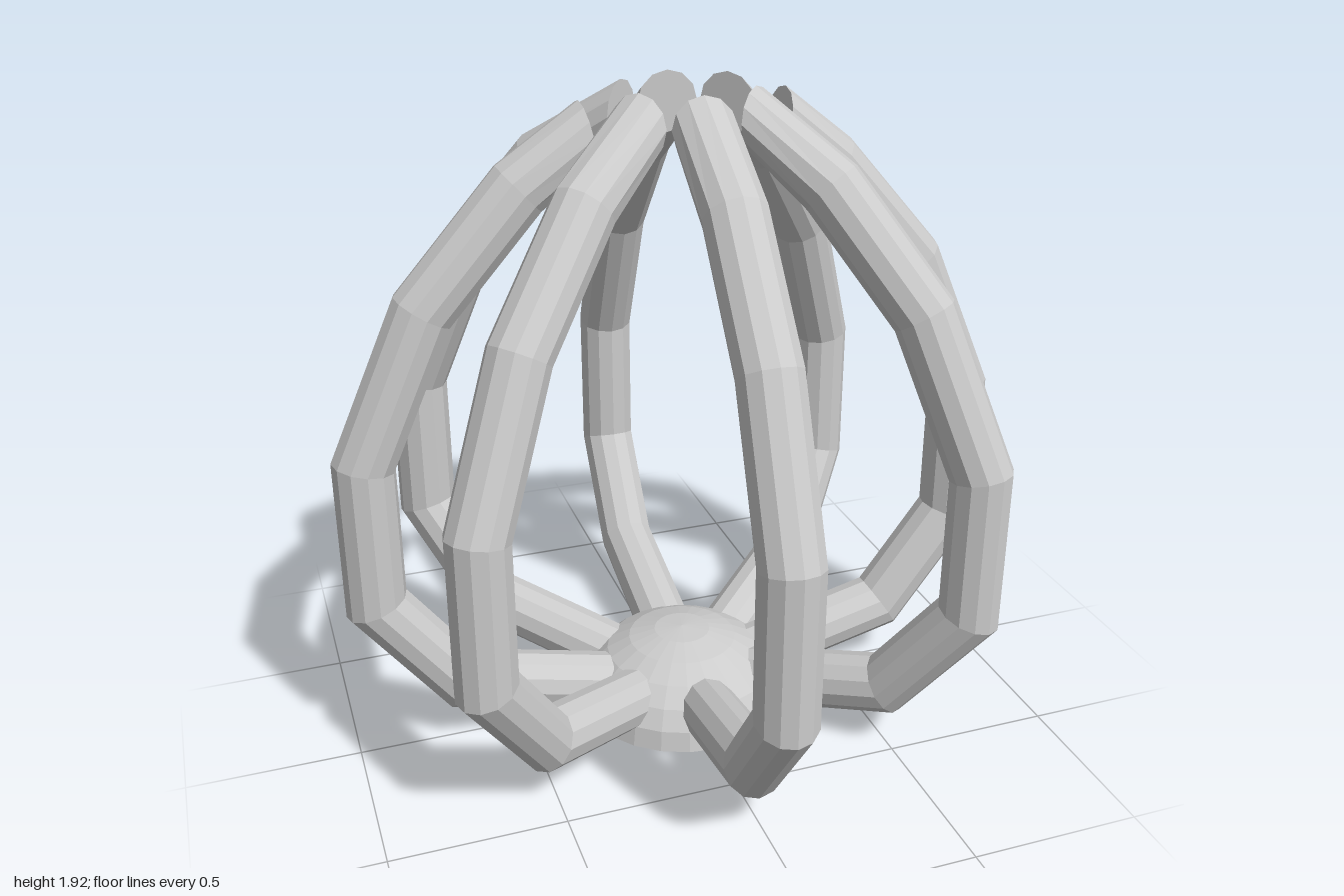
import * as THREE from 'three';

const RADIUS = 0.087;
const SIDES = 12;
const material = new THREE.MeshStandardMaterial({ color: 0xcccccc, flatShading: true });

// Plan positions of each arm: upper end (x, z), outermost point (x, z), height and tilt of the upper end
const ARMS = [
  { name: 'frontArm', top: [0.01, 0.17], tip: [-0.03, 0.985], y: 1.83, tilt: 0 },
  { name: 'frontLeftArm', top: [0.18, 0.10], tip: [0.715, 0.665], y: 1.83, tilt: 0 },
  { name: 'leftArm', top: [0.29, 0], tip: [1, 0], y: 1.805, tilt: 0.2 },
  { name: 'backLeftArm', top: [0.18, -0.11], tip: [0.765, -0.615], y: 1.83, tilt: 0 },
  { name: 'backArm', top: [0.03, -0.185], tip: [0.043, -0.99], y: 1.83, tilt: 0 },
  { name: 'backRightArm', top: [-0.13, -0.103], tip: [-0.725, -0.645], y: 1.83, tilt: 0 },
  { name: 'rightArm', top: [-0.26, 0], tip: [-1, 0], y: 1.805, tilt: 0.2 },
  { name: 'frontRightArm', top: [-0.14, 0.09], tip: [-0.775, 0.565], y: 1.83, tilt: 0 },
];

// Mitred tube along a bent path lying in one vertical plane
function armGeometry({ top, tip, y, tilt }) {
  const u = new THREE.Vector3(tip[0] - top[0], 0, tip[1] - top[1]);
  const reach = u.length() - RADIUS;
  u.normalize();
  const up = new THREE.Vector3(0, 1, 0);
  const side = new THREE.Vector3().crossVectors(u, up);
  const origin = new THREE.Vector3(top[0], 0, top[1]);

  // (distance from the upper end, height), from the hub outward and up
  const path = [
    [reach - 0.67, 0.09], [reach - 0.23, 0.195], [reach, 0.5], [reach, 0.935],
    [reach - 0.19, 1.36], [reach - 0.465, 1.67], [0, y],
  ].map(p => new THREE.Vector2(...p));

  const positions = [];
  const index = [];
  const put = v => positions.push(v.x, v.y, v.z);
  const centre = p => origin.clone().addScaledVector(u, p.x).addScaledVector(up, p.y);
  const last = path.length - 1;

  path.forEach((p, i) => {
    const before = p.clone().sub(path[Math.max(i - 1, 0)]).normalize();
    const after = path[Math.min(i + 1, last)].clone().sub(p).normalize();
    const t = before.clone().add(after).normalize();
    if (i === last) t.set(-1, tilt).normalize();
    const stretch = i > 0 && i < last ? 1 / t.dot(before) : 1;
    const n = u.clone().multiplyScalar(-t.y).addScaledVector(up, t.x);
    for (let j = 0; j < SIDES; j++) {
      const a = (j / SIDES) * Math.PI * 2;
      put(centre(p)
        .addScaledVector(n, Math.cos(a) * RADIUS * stretch)
        .addScaledVector(side, Math.sin(a) * RADIUS));
    }
  });
  put(centre(path[0]));
  put(centre(path[last]));

  const capStart = path.length * SIDES;
  for (let j = 0; j < SIDES; j++) {
    const k = (j + 1) % SIDES;
    for (let i = 0; i < last; i++) {
      const r = i * SIDES;
      const s = r + SIDES;
      index.push(r + j, r + k, s + k, r + j, s + k, s + j);
    }
    index.push(capStart, k, j);
    index.push(capStart + 1, last * SIDES + j, last * SIDES + k);
  }

  const geometry = new THREE.BufferGeometry();
  geometry.setAttribute('position', new THREE.Float32BufferAttribute(positions, 3));
  geometry.setIndex(index);
  const flat = geometry.toNonIndexed();
  flat.computeVertexNormals();
  return flat;
}

export function createModel() {
  const model = new THREE.Group();
  model.name = 'ribbedCage';

  // Low domed hub with a flat underside
  const profile = [new THREE.Vector2(0, 0)];
  for (let i = 0; i <= 6; i++) {
    const a = (i / 6) * Math.PI / 2;
    profile.push(new THREE.Vector2(i === 6 ? 0 : 0.33 * Math.cos(a), 0.235 * Math.sin(a)));
  }
  const hub = new THREE.Mesh(new THREE.LatheGeometry(profile, 24), material);
  hub.name = 'hub';
  hub.position.x = 0.01;
  model.add(hub);

  // Eight bent arms rising from the hub
  for (const arm of ARMS) {
    const mesh = new THREE.Mesh(armGeometry(arm), material);
    mesh.name = arm.name;
    model.add(mesh);
  }
  return model;
}
